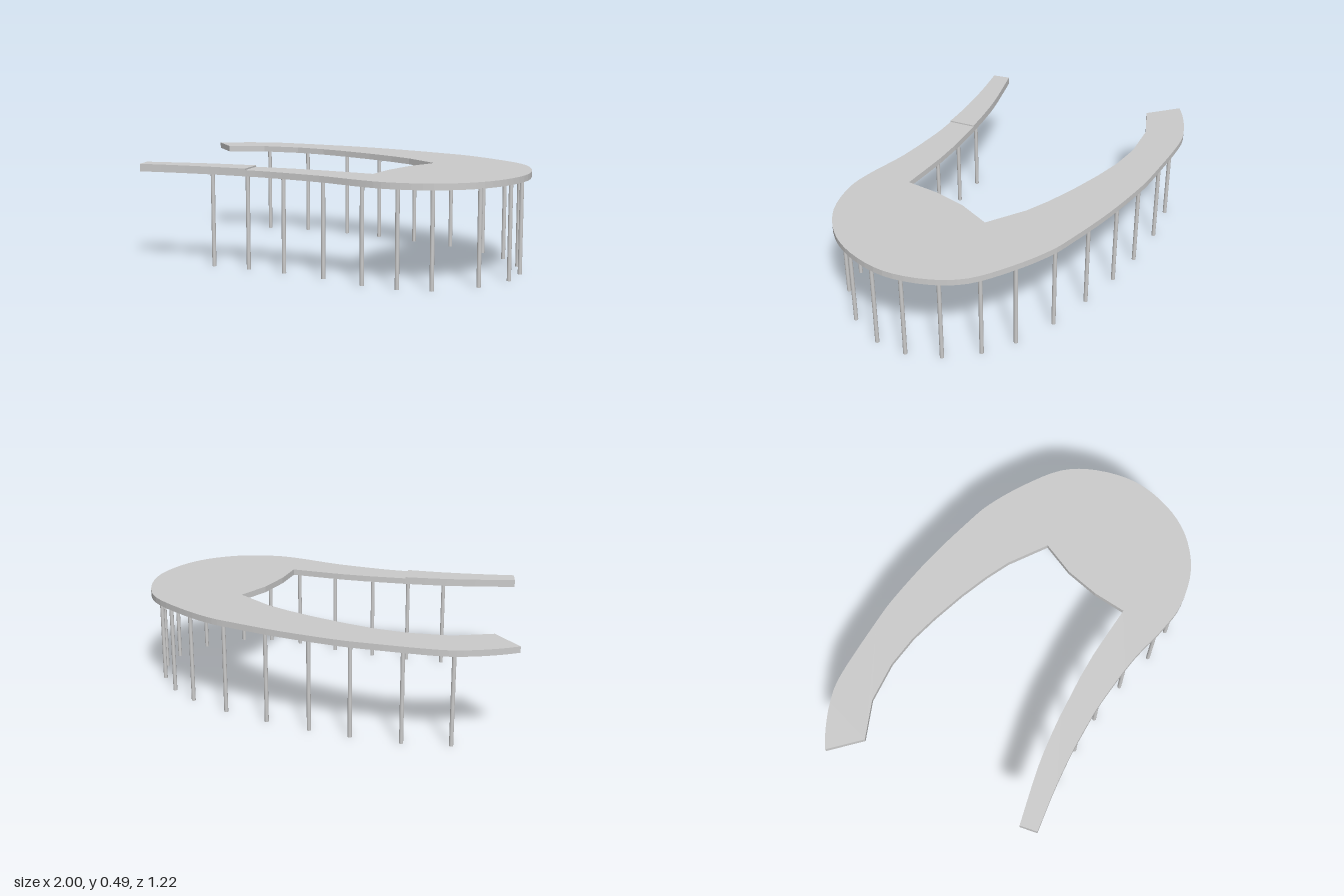
import * as THREE from 'three';

const BOTTOM = 0.457;
const material = new THREE.MeshStandardMaterial({ color: 0xcccccc });

// Plan points are [x, z]; the slab rises from BOTTOM to top.
function slab(name, points, top) {
  const shape = new THREE.Shape(points.map(([x, z]) => new THREE.Vector2(x, -z)));
  const geometry = new THREE.ExtrudeGeometry(shape, { depth: top - BOTTOM, bevelEnabled: false });
  geometry.rotateX(-Math.PI / 2);
  geometry.translate(0, BOTTOM, 0);
  const mesh = new THREE.Mesh(geometry, material);
  mesh.name = name;
  return mesh;
}

// Smooth plan edge through a few points
function smooth(points, divisions) {
  const curve = new THREE.SplineCurve(points.map(([x, z]) => new THREE.Vector2(x, z)));
  return curve.getPoints(divisions).map((p) => [p.x, p.y]);
}

export function createModel() {
  const model = new THREE.Group();
  model.name = 'curvedWalkway';

  // Main deck: back arm, broad rounded end and first part of the front arm
  const outer = smooth([
    [-1, -0.445], [-0.92, -0.5], [-0.8, -0.56], [-0.66, -0.597], [-0.34, -0.61], [-0.18, -0.607],
    [0.09, -0.577], [0.35, -0.527], [0.49, -0.49], [0.67, -0.405], [0.85, -0.285], [0.95, -0.13],
    [0.998, 0.07], [0.965, 0.27], [0.877, 0.43], [0.727, 0.55], [0.54, 0.602], [0.38, 0.592],
    [0.166, 0.55], [-0.1, 0.53], [-0.24, 0.533],
  ], 80);
  const inner = [
    [-0.26, 0.4], [-0.05, 0.38], [0.086, 0.374], [0.2, 0.376], [0.355, 0.38],
    [0.36, 0.216], [0.39, 0.045], [0.455, -0.12],
    [0.27, -0.235], [0.15, -0.285], [0, -0.335], [-0.17, -0.38], [-0.315, -0.41], [-0.48, -0.422],
    [-0.68, -0.398], [-0.86, -0.315],
  ];
  model.add(slab('mainDeck', [...outer, ...inner], 0.487));

  // Slightly raised end of the front arm
  model.add(slab('raisedDeck', [
    ...smooth([[-0.24, 0.533], [-0.4, 0.543], [-0.6, 0.569], [-0.795, 0.605]], 10),
    ...smooth([[-0.815, 0.52], [-0.556, 0.45], [-0.4, 0.42], [-0.26, 0.4]], 8),
  ], 0.494));

  // Slender posts following the outer edge
  const posts = new THREE.Group();
  posts.name = 'posts';
  const postGeometry = new THREE.CylinderGeometry(0.01, 0.01, BOTTOM, 12);
  postGeometry.translate(0, BOTTOM / 2, 0);
  [
    [-0.72, -0.525], [-0.495, -0.565], [-0.25, -0.57], [-0.045, -0.555], [0.18, -0.52], [0.41, -0.47],
    [0.62, -0.387], [0.765, -0.29], [0.885, -0.15], [0.95, 0.01], [0.95, 0.17], [0.87, 0.355],
    [0.71, 0.52], [0.56, 0.562], [0.385, 0.56], [0.165, 0.515], [-0.055, 0.495], [-0.25, 0.495],
    [-0.44, 0.505],
  ].forEach(([x, z]) => {
    const post = new THREE.Mesh(postGeometry, material);
    post.name = 'post';
    post.position.set(x, 0, z);
    posts.add(post);
  });
  model.add(posts);

  return model;
}
